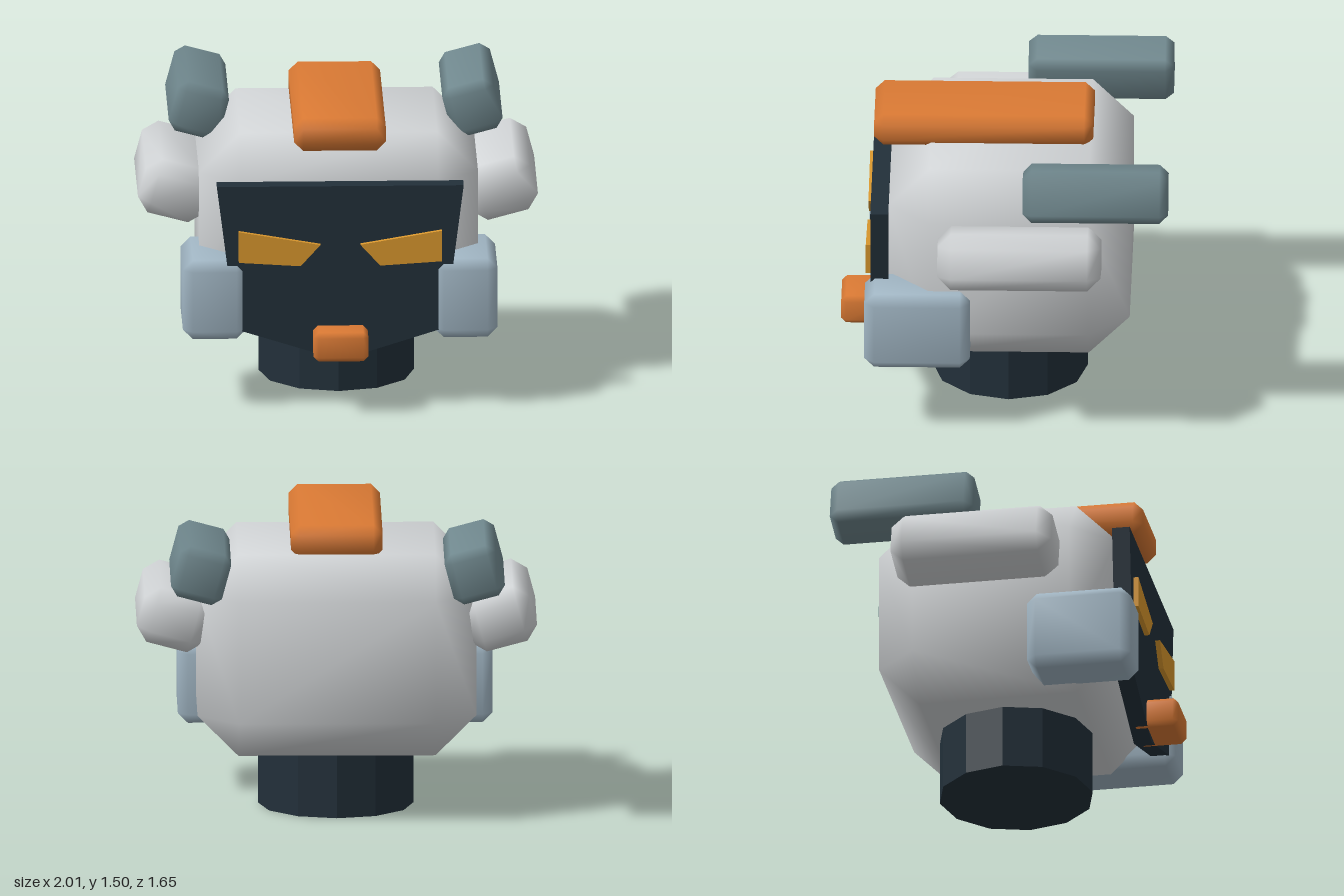
import * as THREE from 'three';
import { mergeVertices } from 'three/addons/utils/BufferGeometryUtils.js';
import { ConvexGeometry } from 'three/addons/geometries/ConvexGeometry.js';

function material(name, color) {
  const m = new THREE.MeshStandardMaterial({ color });
  m.name = name;
  return m;
}

// Box with single-step chamfers on every edge and smoothed normals
function chamferBox(w, h, d, c) {
  const half = [w / 2, h / 2, d / 2];
  const points = [];
  for (const sx of [-1, 1]) for (const sy of [-1, 1]) for (const sz of [-1, 1]) {
    for (let axis = 0; axis < 3; axis++) {
      const p = [sx, sy, sz].map((s, i) => s * (half[i] - (i === axis ? 0 : c)));
      points.push(new THREE.Vector3(...p));
    }
  }
  const hull = new ConvexGeometry(points);
  hull.deleteAttribute('normal');
  const geometry = mergeVertices(hull, 1e-4);
  geometry.computeVertexNormals();
  return geometry;
}

// Flat outline extruded from z0 to z1
function plate(points, z0, z1) {
  const shape = new THREE.Shape(points.map(([x, y]) => new THREE.Vector2(x, y)));
  const geometry = new THREE.ExtrudeGeometry(shape, { depth: z1 - z0, bevelEnabled: false });
  return geometry.translate(0, 0, z0);
}

export function createModel() {
  const white = material('shell white', 0xd3d6d8);
  const dark = material('dark navy', 0x22303a);
  const orange = material('orange', 0xdb7a34);
  const amber = material('amber', 0xdb982d);
  const teal = material('grey teal', 0x70888e);
  const blue = material('pale blue grey', 0xa2b7c5);

  const model = new THREE.Group();
  model.name = 'robotHead';

  function add(name, geometry, mat, x = 0, y = 0, z = 0, tilt = 0) {
    const mesh = new THREE.Mesh(geometry, mat);
    mesh.name = name;
    mesh.position.set(x, y, z);
    mesh.rotation.z = tilt;
    model.add(mesh);
    return mesh;
  }

  // Helmet shell
  add('helmet', chamferBox(1.4, 1.03, 1.21, 0.205), white, 0, 0.84, -0.025);

  // Faceted neck
  const neck = new THREE.CylinderGeometry(0.39, 0.39, 0.5, 12).toNonIndexed();
  neck.computeVertexNormals();
  add('neck', neck, dark, 0, 0.25, -0.02);

  // Pointed face mask
  const mask = [[-0.62, 1.16], [-0.525, 0.415], [0, 0.25], [0.525, 0.415], [0.62, 1.16]];
  add('faceMask', plate(mask, 0.58, 0.67), dark);

  // Crest over the top and chin block
  add('crest', chamferBox(0.46, 0.17, 1.1, 0.045), orange, 0, 1.415, 0.11);
  add('chin', chamferBox(0.275, 0.15, 0.24, 0.025), orange, 0, 0.357, 0.707);

  // Mirrored pairs
  const eye = [[0.51, 0.93], [0.1, 0.86], [0.2, 0.75], [0.51, 0.77]];
  const tilt = Math.PI / 12;
  for (const [side, s] of [['left', 1], ['right', -1]]) {
    add(side + 'Eye', plate(eye.map(([x, y]) => [s * x, y]), 0.665, 0.695), amber);
    add(side + 'Cheek', chamferBox(0.32, 0.41, 0.53, 0.05), blue, s * 0.63, 0.565, 0.433);
    add(side + 'EarPod', chamferBox(0.345, 0.287, 0.82, 0.067), white, s * 0.818, 1.023, -0.083, s * tilt);
    add(side + 'Fin', chamferBox(0.265, 0.265, 0.73, 0.043), teal, s * 0.687, 1.325, -0.463, s * tilt);
  }

  return model;
}
